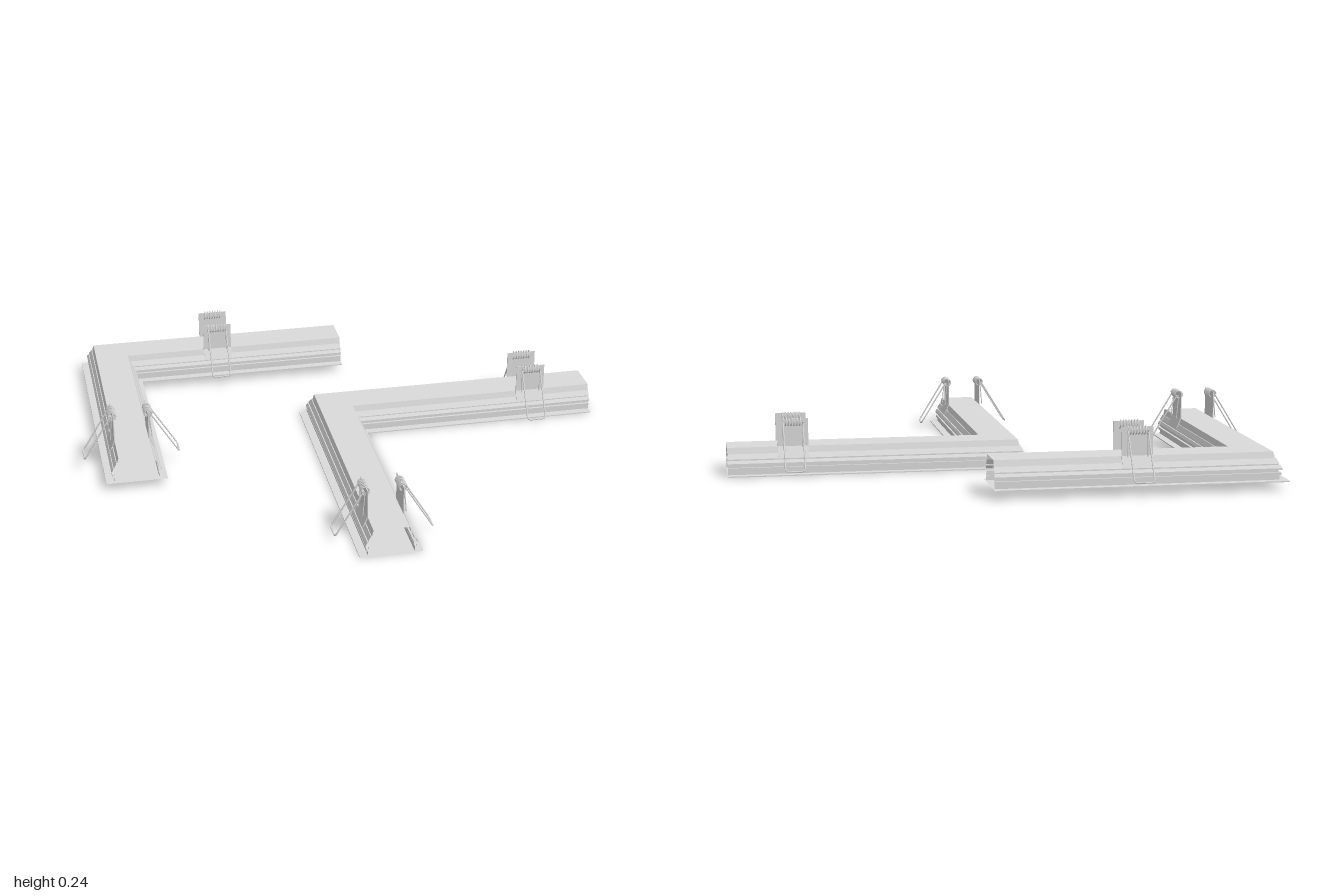
import * as THREE from 'three';

const aluminium = new THREE.MeshStandardMaterial({ color: 0xdadada, side: THREE.DoubleSide });
aluminium.name = 'aluminium';

// Half of the ribbed channel section: distance from the centre line, height
const half = [
  [0.113, 0], [0.113, 0.004], [0.083, 0.004], [0.083, 0.021], [0.089, 0.021], [0.089, 0.03],
  [0.08, 0.03], [0.08, 0.038], [0.091, 0.04], [0.091, 0.046], [0.085, 0.056], [0.08, 0.056],
  [0.08, 0.061], [0.083, 0.061], [0.073, 0.079], [0.07, 0.079], [0.064, 0.102],
];
const profile = [...half, ...half.map(([o, y]) => [-o, y]).reverse()];

// Hollow channel swept around a mitred corner, open at both ends
function cornerChannel(cx, cz, endX, endZ) {
  const sections = [
    ([o, y]) => [cx + o, y, endZ],
    ([o, y]) => [cx + o, y, cz + o],
    ([o, y]) => [endX, y, cz + o],
  ];
  const pos = [];
  for (let k = 0; k < 2; k++) {
    profile.forEach((p, i) => {
      const q = profile[(i + 1) % profile.length];
      const a = sections[k](p), b = sections[k](q);
      const c = sections[k + 1](q), d = sections[k + 1](p);
      pos.push(...a, ...d, ...c, ...a, ...c, ...b);
    });
  }
  const geo = new THREE.BufferGeometry();
  geo.setAttribute('position', new THREE.Float32BufferAttribute(pos, 3));
  geo.computeVertexNormals();
  const mesh = new THREE.Mesh(geo, aluminium);
  mesh.name = 'channel';
  return mesh;
}

// Wire following straight runs between points
function wire(points, name, radius = 0.0028) {
  const path = new THREE.CurvePath();
  for (let i = 1; i < points.length; i++) {
    path.add(new THREE.LineCurve3(points[i - 1], points[i]));
  }
  const mesh = new THREE.Mesh(new THREE.TubeGeometry(path, 96, radius, 6), aluminium);
  mesh.name = name;
  return mesh;
}

// Spring clip: runs along x, its wire loop reaching out towards +z
function springClip() {
  const clip = new THREE.Group();
  clip.name = 'springClip';
  const v = (x, y, z) => new THREE.Vector3(x, y, z);
  const coilY = 0.193, coilZ = 0.067, r = 0.014, w = 0.036;

  // Bracket: upright tab with a foot that hugs the sloping wall
  const s = new THREE.Shape();
  [[0.063, 0.205], [0.063, 0.102], [0.08, 0.062], [0.084, 0.062], [0.066, 0.103], [0.066, 0.205]]
    .forEach(([z, y], i) => (i ? s.lineTo(-z, y) : s.moveTo(-z, y)));
  const tab = new THREE.Mesh(
    new THREE.ExtrudeGeometry(s, { depth: 0.112, bevelEnabled: false }), aluminium);
  tab.rotation.y = Math.PI / 2;
  tab.position.x = -0.056;
  tab.name = 'bracket';
  clip.add(tab);

  // Coil wound around the top of the bracket
  const turns = 7, steps = turns * 10;
  const coil = [];
  for (let i = 0; i <= steps; i++) {
    const a = (i / steps) * turns * Math.PI * 2;
    coil.push(v(-w + (2 * w * i) / steps, coilY + r * Math.sin(a), coilZ + r * Math.cos(a)));
  }
  const spring = new THREE.Mesh(
    new THREE.TubeGeometry(new THREE.CatmullRomCurve3(coil), steps * 2, 0.0025, 5), aluminium);
  spring.name = 'coil';
  clip.add(spring);

  // Slanted loop with rounded outer corners
  const at = (x, t) => v(x, coilY + (0.027 - coilY) * t, coilZ + 0.008 + 0.102 * t);
  clip.add(wire([
    at(-w, 0), at(-w, 0.94), at(-w + 0.003, 0.98), at(-w + 0.01, 1),
    at(w - 0.01, 1), at(w - 0.003, 0.98), at(w, 0.94), at(w, 0),
  ], 'loop'));

  // Short spring legs resting against the bracket
  for (const x of [-w, w]) {
    clip.add(wire([v(x, coilY, coilZ + 0.003), v(x, 0.1, coilZ + 0.011)], 'springLeg', 0.002));
  }
  return clip;
}

function cornerLight({ name, cx, cz, endX, endZ, y, clipX, clipZ }) {
  const g = new THREE.Group();
  g.name = name;
  g.position.y = y;
  g.add(cornerChannel(cx, cz, endX, endZ));
  // A facing pair of clips on each arm
  for (const flip of [0, Math.PI]) {
    const a = springClip();
    a.position.set(clipX, 0, cz);
    a.rotation.y = flip;
    const b = springClip();
    b.position.set(cx, 0, clipZ);
    b.rotation.y = Math.PI / 2 + flip;
    g.add(a, b);
  }
  return g;
}

export function createModel() {
  const model = new THREE.Group();
  model.name = 'cornerLightProfiles';
  model.add(
    cornerLight({
      name: 'frontCornerProfile', cx: -0.014, cz: -0.135, endX: 1, endZ: 0.879,
      y: 0, clipX: 0.76, clipZ: 0.73,
    }),
    cornerLight({
      name: 'backCornerProfile', cx: -0.822, cz: -0.702, endX: 0.114, endZ: 0.233,
      y: 0.03, clipX: -0.394, clipZ: 0.042,
    }),
  );
  return model;
}
